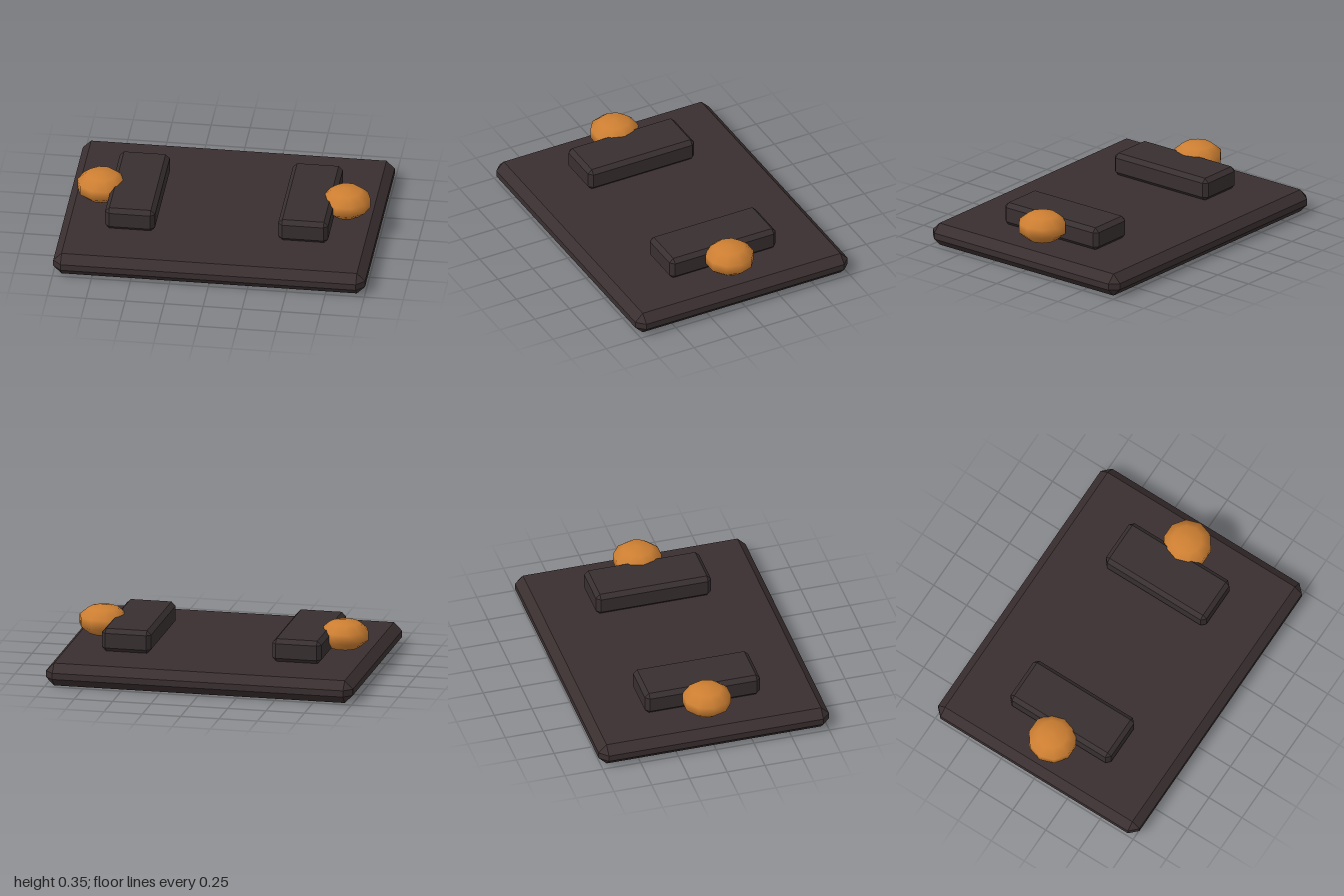
import * as THREE from 'three';
import { ConvexGeometry } from 'three/addons/geometries/ConvexGeometry.js';

// Box with every edge and corner cut; h = half sizes, c = cut per axis
function chamferedBox(h, c) {
  const points = [];
  for (const sx of [-1, 1]) for (const sy of [-1, 1]) for (const sz of [-1, 1]) {
    for (let full = 0; full < 3; full++) {
      const p = h.map((v, i) => (i === full ? v : v - c[i]));
      points.push(new THREE.Vector3(sx * p[0], sy * p[1], sz * p[2]));
    }
  }
  return new ConvexGeometry(points);
}

export function createModel() {
  const darkBrown = new THREE.MeshStandardMaterial({ color: 0x3a2f30 });
  darkBrown.name = 'dark brown';
  const charcoal = new THREE.MeshStandardMaterial({ color: 0x382f30 });
  charcoal.name = 'charcoal brown';
  const bronze = new THREE.MeshStandardMaterial({ color: 0xcd7f32 });
  bronze.name = 'bronze';

  const group = new THREE.Group();
  group.name = 'plateWithKnobs';
  const add = (name, geometry, material, x, y) => {
    const mesh = new THREE.Mesh(geometry, material);
    mesh.name = name;
    mesh.position.set(x, y, 0);
    group.add(mesh);
    return mesh;
  };

  // Base slab
  add('basePlate', chamferedBox([1, 0.0735, 0.763], [0.053, 0.053, 0.053]), darkBrown, 0, 0.0735);

  // Raised bar and round knob on each side
  const bar = chamferedBox([0.16, 0.075, 0.381], [0.027, 0.027, 0.027]);
  const knob = new THREE.SphereGeometry(0.163, 10, 5);
  knob.scale(1, 0.61, 1);
  for (const [side, s] of [['left', 1], ['right', -1]]) {
    add(side + 'Bar', bar, charcoal, s * 0.555, 0.221);
    add(side + 'Knob', knob, bronze, s * 0.785, 0.251);
  }
  return group;
}
